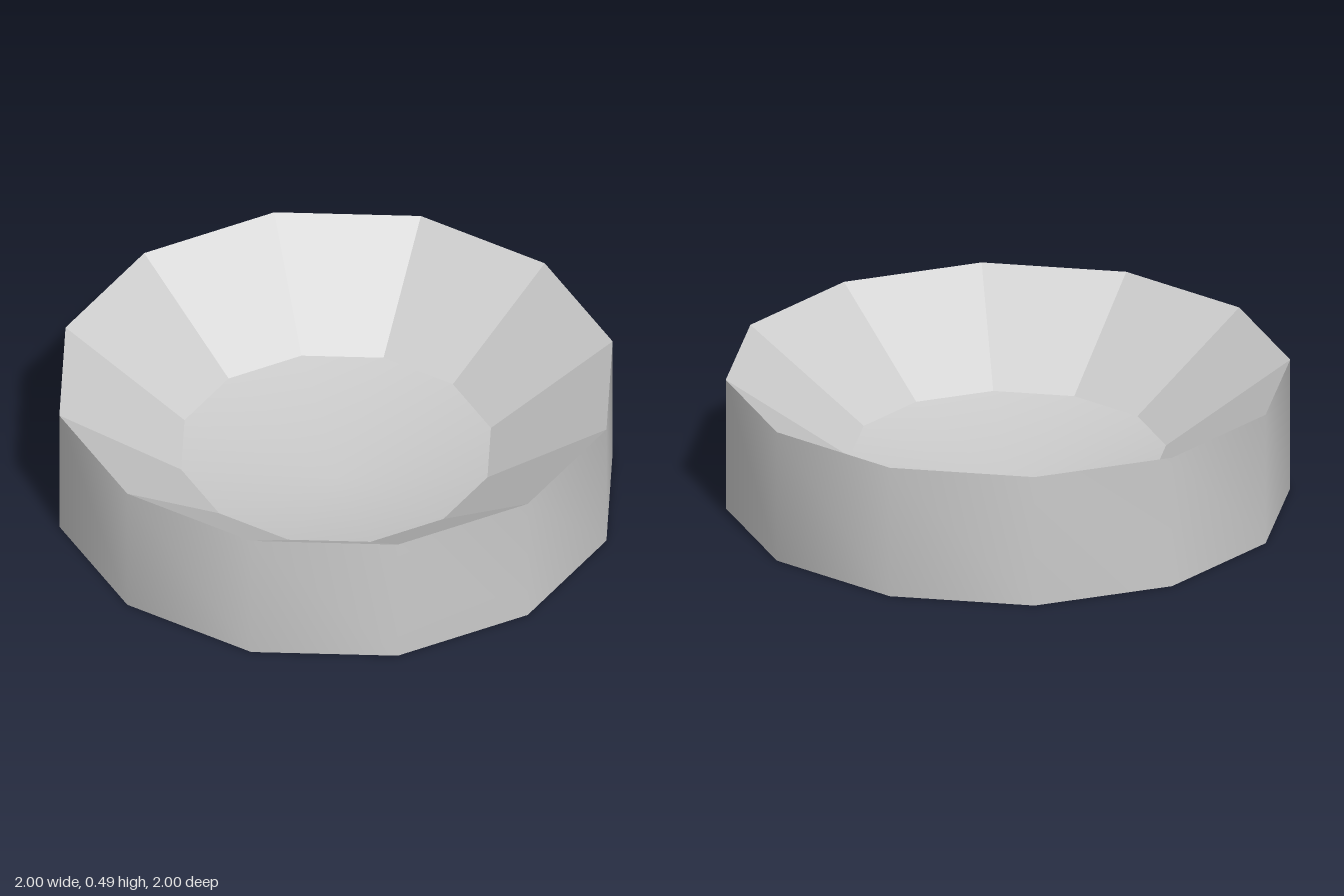
import * as THREE from 'three';
import { mergeVertices } from 'three/addons/utils/BufferGeometryUtils.js';

const SIDES = 12;
const HEIGHT = 0.49;
const RING = 0.56; // radius where the sloping band meets the dish

// Ring of faces turned from a short [radius, height] profile
function turned(name, profile, flat) {
  let geometry = new THREE.LatheGeometry(profile.map(([r, y]) => new THREE.Vector2(r, y)), SIDES);
  if (!flat) {
    geometry.deleteAttribute('normal');
    geometry.deleteAttribute('uv');
    geometry = mergeVertices(geometry, 1e-4);
    geometry.computeVertexNormals();
  }
  const material = new THREE.MeshStandardMaterial({
    color: 0xcccccc, flatShading: flat, side: THREE.DoubleSide,
  });
  const mesh = new THREE.Mesh(geometry, material);
  mesh.name = name;
  return mesh;
}

export function createModel() {
  const group = new THREE.Group();
  group.name = 'bowl';

  // Upright outer wall, open underneath
  group.add(turned('outerWall', [[1, 0], [1, HEIGHT]], false));

  // Inside of the bowl: faceted slope and shallow smooth dish
  group.add(turned('innerSlope', [[1, HEIGHT], [RING, 0.18]], true));
  group.add(turned('innerDish', [[RING, 0.18], [0, 0.05]], false));

  // Underside of the bowl, a little lower to give it thickness
  group.add(turned('underSlope', [[RING, 0.13], [1, HEIGHT]], true));
  group.add(turned('underDish', [[0, 0.01], [RING, 0.13]], false));

  return group;
}
